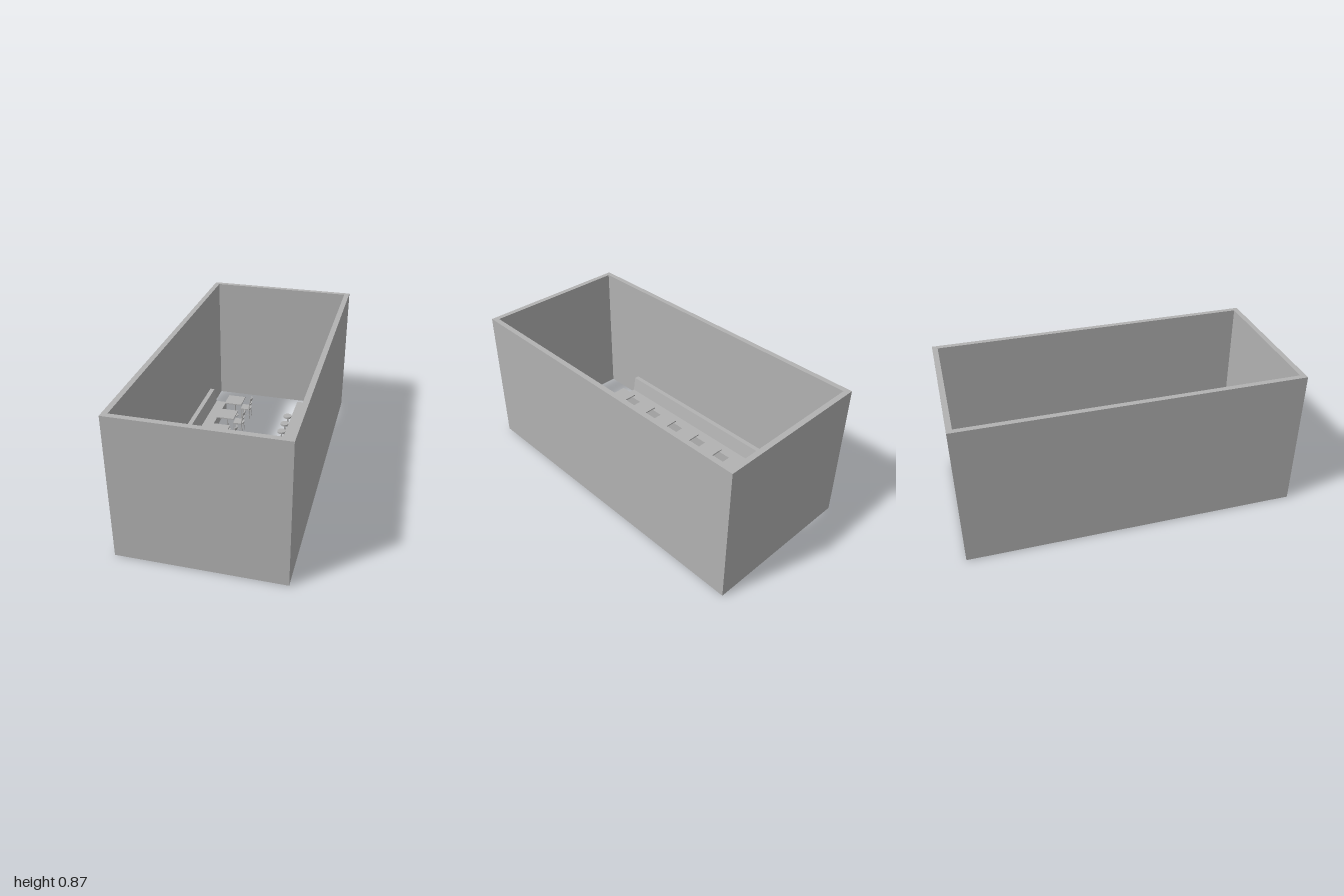
import * as THREE from 'three';

const grey = new THREE.MeshStandardMaterial({ color: 0xb2b2b2 });
grey.name = 'plain grey';
const GROUND = 0.003; // stool feet reach slightly below everything else

function add(parent, name, geometry, x = 0, y = 0, z = 0) {
  const mesh = new THREE.Mesh(geometry, grey);
  mesh.name = name;
  mesh.position.set(x, y, z);
  parent.add(mesh);
  return mesh;
}

// Box given by its minimum and maximum corners
function block(parent, name, [x0, y0, z0], [x1, y1, z1]) {
  return add(parent, name, new THREE.BoxGeometry(x1 - x0, y1 - y0, z1 - z0),
    (x0 + x1) / 2, (y0 + y1) / 2, (z0 + z1) / 2);
}

// Upright cylinder from y0 to y1
function disc(parent, name, r, y0, y1, sides = 24) {
  return add(parent, name, new THREE.CylinderGeometry(r, r, y1 - y0, sides), 0, (y0 + y1) / 2, 0);
}

function group(parent, name, x, z) {
  const g = new THREE.Group();
  g.name = name;
  g.position.set(x, 0, z);
  parent.add(g);
  return g;
}

function rectangle(target, w, d) {
  target.moveTo(-w, -d);
  target.lineTo(w, -d);
  target.lineTo(w, d);
  target.lineTo(-w, d);
  target.closePath();
  return target;
}

// Four walls, open above and below
function buildWalls(parent) {
  const plan = rectangle(new THREE.Shape(), 0.48, 1);
  plan.holes.push(rectangle(new THREE.Path(), 0.448, 0.968));
  const geometry = new THREE.ExtrudeGeometry(plan, { depth: 0.87 - GROUND, bevelEnabled: false });
  geometry.rotateX(-Math.PI / 2);
  add(parent, 'walls', geometry, 0, GROUND, 0);
}

// Long wall bench with a sloping backrest
function buildBench(parent) {
  const side = new THREE.Shape([
    [-0.448, GROUND], [-0.33, GROUND], [-0.33, 0.07], [-0.402, 0.07], [-0.418, 0.165], [-0.448, 0.165],
  ].map(([x, y]) => new THREE.Vector2(x, y)));
  add(parent, 'bench', new THREE.ExtrudeGeometry(side, { depth: 1.37, bevelEnabled: false }), 0, 0, -0.69);
}

// Bar with an overhanging top
function buildCounter(parent) {
  block(parent, 'counterBody', [0.24, GROUND, -0.65], [0.448, 0.152, 0.65]);
  block(parent, 'counterTop', [0.205, 0.152, -0.65], [0.448, 0.165, 0.65]);
}

function buildStool(parent, x, z) {
  const stool = group(parent, 'stool', x, z);
  disc(stool, 'stoolBase', 0.021, 0, 0.005);
  disc(stool, 'stoolPost', 0.005, 0.005, 0.105, 12);
  disc(stool, 'stoolSeat', 0.028, 0.105, 0.117);
}

function buildTable(parent, x, z) {
  const table = group(parent, 'table', x, z);
  disc(table, 'tableBase', 0.022, GROUND, 0.008);
  disc(table, 'tablePost', 0.005, 0.008, 0.122, 12);
  block(table, 'tableTop', [-0.06, 0.122, -0.06], [0.06, 0.13, 0.06]);
}

// Chair facing -x, with an open back and curved rails
function buildChair(parent, x, z) {
  const chair = group(parent, 'chair', x, z);
  const seat = new THREE.Shape();
  seat.moveTo(-0.04, -0.035);
  seat.lineTo(0.02, -0.033);
  seat.quadraticCurveTo(0.042, 0, 0.02, 0.033);
  seat.lineTo(-0.04, 0.035);
  const geometry = new THREE.ExtrudeGeometry(seat, { depth: 0.007, bevelEnabled: false, curveSegments: 8 });
  geometry.rotateX(-Math.PI / 2);
  add(chair, 'chairSeat', geometry, 0, 0.078, 0);

  for (const s of [-1, 1]) {
    block(chair, 'frontLeg', [-0.038, GROUND, s * 0.03 - 0.003], [-0.032, 0.078, s * 0.03 + 0.003]);
    // Rear leg runs up into the backrest
    const rear = new THREE.CatmullRomCurve3([
      new THREE.Vector3(0.024, GROUND, s * 0.027),
      new THREE.Vector3(0.018, 0.08, s * 0.027),
      new THREE.Vector3(0.028, 0.158, s * 0.025),
    ]);
    add(chair, 'rearLeg', new THREE.TubeGeometry(rear, 8, 0.0035, 8));
    block(chair, 'sideRail', [-0.035, 0.038, s * 0.029 - 0.002], [0.021, 0.042, s * 0.029 + 0.002]);
  }

  for (const [y, h, dx] of [[0.145, 0.018, 0.026], [0.115, 0.007, 0.022]]) {
    const rail = new THREE.Shape();
    rail.moveTo(dx - 0.003, -0.025);
    rail.quadraticCurveTo(dx + 0.013, 0, dx - 0.003, 0.025);
    rail.lineTo(dx + 0.003, 0.025);
    rail.quadraticCurveTo(dx + 0.019, 0, dx + 0.003, -0.025);
    const bar = new THREE.ExtrudeGeometry(rail, { depth: h, bevelEnabled: false, curveSegments: 8 });
    bar.rotateX(-Math.PI / 2);
    add(chair, 'backRail', bar, 0, y, 0);
  }
}

export function createModel() {
  const model = new THREE.Group();
  model.name = 'diningRoom';
  buildWalls(model);
  buildBench(model);
  buildCounter(model);
  for (let i = 0; i < 11; i++) buildStool(model, 0.163, (i - 5) * 0.1045);
  for (let i = 0; i < 7; i++) {
    const z = -0.005 + (i - 3) * 0.2085;
    buildTable(model, -0.245, z);
    buildChair(model, -0.155, z);
  }
  return model;
}
